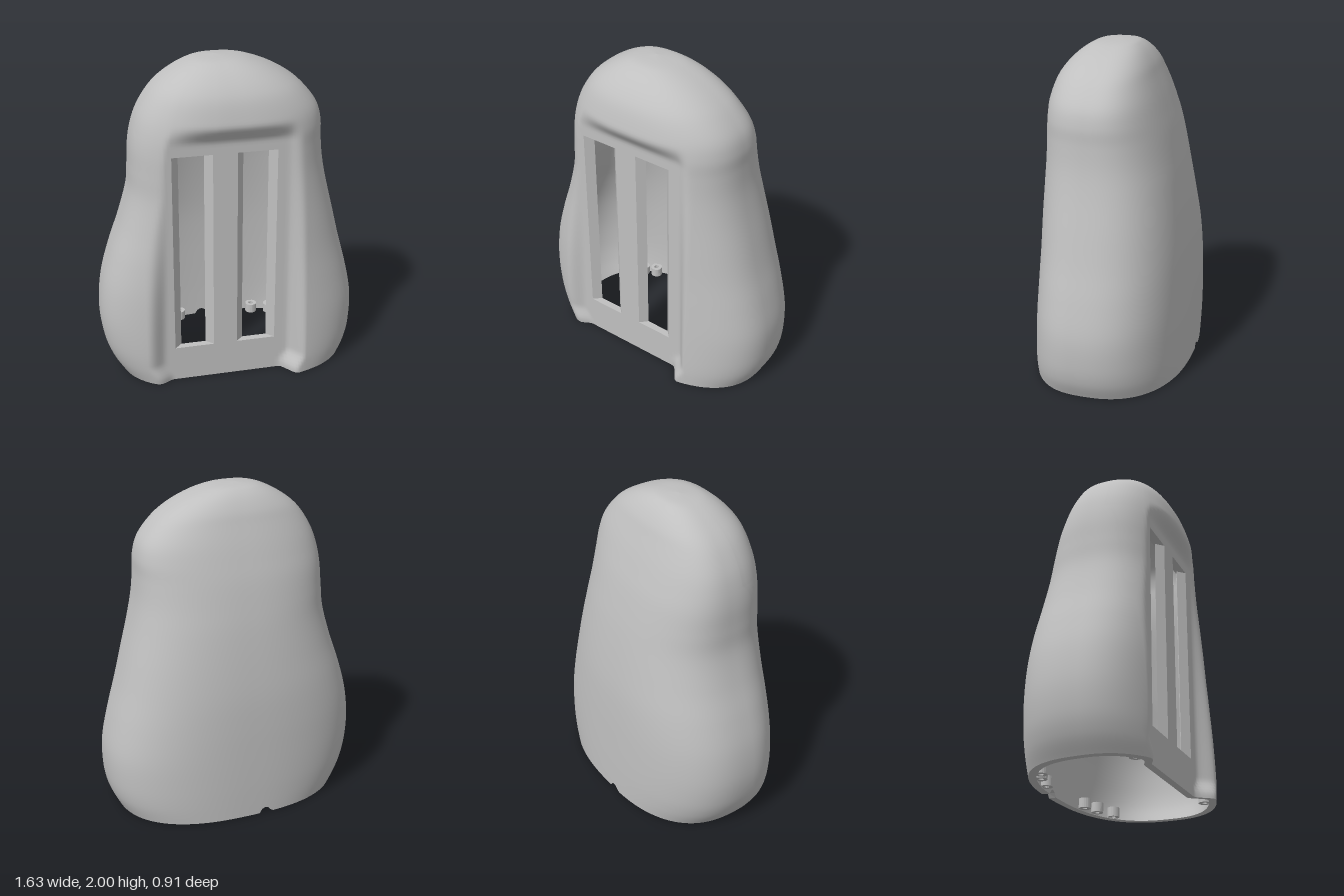
import * as THREE from 'three';

// Profile stations: y, right edge x, left edge x, front z, back z
const STATIONS = [
  [0, -0.695, 0.74, 0.488, -0.455], [0.1, -0.755, 0.785, 0.484, -0.455],
  [0.225, -0.797, 0.807, 0.478, -0.454], [0.4, -0.815, 0.806, 0.47, -0.45],
  [0.6, -0.795, 0.765, 0.463, -0.443], [0.8, -0.74, 0.71, 0.456, -0.43],
  [1.0, -0.67, 0.66, 0.45, -0.405], [1.2, -0.615, 0.61, 0.444, -0.372],
  [1.35, -0.603, 0.58, 0.44, -0.34], [1.49, -0.595, 0.566, 0.435, -0.305],
  [1.6, -0.575, 0.561, 0.428, -0.27], [1.7, -0.54, 0.53, 0.41, -0.235],
  [1.8, -0.48, 0.45, 0.38, -0.195], [1.87, -0.415, 0.363, 0.338, -0.165],
  [1.93, -0.33, 0.255, 0.28, -0.125], [1.97, -0.25, 0.15, 0.22, -0.083],
  [1.99, -0.18, 0.06, 0.16, -0.04], [2.0, -0.07, -0.07, 0.05, 0.05],
];
const STEPS = 6, ROWS = (STATIONS.length - 1) * STEPS;
const WALL = 0.045, CZ = 0.05, N = 2.5, PANEL_Z = 0.353;

// Column anchors across the front; the slots sit between anchors 2-3 and 4-5
const OUTER_X = [0.43, 0.31, 0.24, 0, -0.147, -0.39, -0.44, -0.57];
const INNER_X = [0.41, 0.28, 0.195, 0.042, -0.192, -0.345, -0.41, -0.53];
const SEGS = [14, 8, 3, 6, 4, 6, 3, 8, 14], BACK = 120;
const FRONT = SEGS.reduce((a, b) => a + b), COLS = FRONT + BACK;
const colOf = (anchor) => SEGS.slice(0, anchor + 1).reduce((a, b) => a + b);
const SLOTS = [[colOf(2), colOf(3)], [colOf(4), colOf(5)]];
const SLOT_ROWS = [2 * STEPS, 9 * STEPS];

const smooth = THREE.MathUtils.smoothstep;
const spow = (v, p) => Math.sign(v) * Math.abs(v) ** p;

// Catmull-Rom through the stations
function station(row) {
  const last = STATIONS.length - 1;
  const i = Math.min(Math.floor(row / STEPS), last - 1), t = row / STEPS - i;
  const p = [i - 1, i, i + 1, i + 2].map((k) => STATIONS[THREE.MathUtils.clamp(k, 0, last)]);
  return p[1].map((b, k) => {
    const a = p[0][k], c = p[2][k], d = p[3][k];
    return b + 0.5 * t * (c - a + t * (2 * a - 5 * b + 4 * c - d + t * (3 * (b - c) + d - a)));
  });
}

// One closed horizontal section of the outer or inner skin
function section(row, inset, xs) {
  const [y0, xr, xl, zf, zb] = station(row);
  const c = (xl + xr) / 2, hw = Math.max((xl - xr) / 2 - inset, 0);
  const df = Math.max(zf - CZ - inset, 0), db = Math.max(CZ - zb - inset, 0);
  // Front columns hold fixed x up to the brow, then follow the narrowing top
  const ref = station(Math.min(row, 10 * STEPS));
  const rc = (ref[1] + ref[2]) / 2, rh = (ref[2] - ref[1]) / 2 - inset;
  const stops = [0, ...xs.map((x) => {
    const u = THREE.MathUtils.clamp((x - rc) / rh, -0.99, 0.99);
    return Math.acos(spow(u, N / 2));
  }), Math.PI];
  const angles = [];
  SEGS.forEach((n, s) => {
    for (let k = 0; k < n; k++) angles.push(stops[s] + (stops[s + 1] - stops[s]) * k / n);
  });
  for (let k = 0; k < BACK; k++) {
    angles.push(2 * Math.PI - Math.acos(spow(Math.cos(Math.PI * (1 + k / BACK)), N / 2)));
  }

  return angles.map((a, j) => {
    const x = c + hw * spow(Math.cos(a), 2 / N), s = Math.sin(a);
    let y = y0 - inset * Math.max(0, (y0 - 1.49) / 0.51);
    let z = CZ + (j < FRONT ? df : db) * spow(s, 2 / N);
    if (j < FRONT) {
      // Sunken front panel with soft borders, pinched at the foot
      const lean = 0.04 * y0 / 1.5, pinch = 0.05 * (1 - smooth(y0, 0.02, 0.13));
      const m = smooth(x, -0.58 + lean + pinch, -0.45 + lean + pinch)
        * (1 - smooth(x, 0.32 - lean / 2 - pinch, 0.43 - lean / 2 - pinch))
        * (1 - smooth(y0, 1.55, 1.68));
      z += (Math.min(z, PANEL_Z - inset) - z) * m;
    } else {
      // Small cable notch in the rear rim
      y = Math.max(y, Math.sqrt(Math.max(0, 0.036 ** 2 - (x + 0.075) ** 2)));
    }
    return [x, y, z];
  });
}

function skin(rings, inward) {
  const index = [];
  const inSlot = (i, j) => i >= SLOT_ROWS[0] && i < SLOT_ROWS[1] && SLOTS.some(([a, b]) => j >= a && j < b);
  for (let i = 0; i < ROWS; i++) {
    for (let j = 0; j < COLS; j++) {
      if (inSlot(i, j)) continue;
      const k = (j + 1) % COLS;
      const a = i * COLS + j, b = i * COLS + k, c = b + COLS, d = a + COLS;
      if (inward) index.push(a, b, c, a, c, d);
      else index.push(a, c, b, a, d, c);
    }
  }
  const g = new THREE.BufferGeometry();
  g.setAttribute('position', new THREE.Float32BufferAttribute(rings.flat(2), 3));
  g.setIndex(index);
  g.computeVertexNormals();
  return g;
}

// Flat strip joining matching points of the two skins along a closed path
function bridge(path, outer, inner) {
  const pos = [];
  path.forEach(([i, j], n) => {
    const [i2, j2] = path[(n + 1) % path.length];
    const a = outer[i][j], b = outer[i2][j2], c = inner[i2][j2], d = inner[i][j];
    pos.push(...a, ...b, ...c, ...a, ...c, ...d);
  });
  const g = new THREE.BufferGeometry();
  g.setAttribute('position', new THREE.Float32BufferAttribute(pos, 3));
  g.computeVertexNormals();
  return g;
}

function slotPath([j0, j1]) {
  const [i0, i1] = SLOT_ROWS, path = [];
  for (let j = j0; j < j1; j++) path.push([i0, j]);
  for (let i = i0; i < i1; i++) path.push([i, j1]);
  for (let j = j1; j > j0; j--) path.push([i1, j]);
  for (let i = i1; i > i0; i--) path.push([i, j0]);
  return path;
}

export function createModel() {
  const model = new THREE.Group();
  model.name = 'hollowHousing';
  const grey = new THREE.MeshStandardMaterial({ color: 0xc0c0c0, side: THREE.DoubleSide });
  grey.name = 'lightGrey';
  const add = (name, geometry) => {
    const mesh = new THREE.Mesh(geometry, grey);
    mesh.name = name;
    model.add(mesh);
    return mesh;
  };

  // Shell skins, bottom rim and bevelled slot walls
  const rows = Array.from({ length: ROWS + 1 }, (_, i) => i);
  const outer = rows.map((r) => section(r, 0, OUTER_X));
  const inner = rows.map((r) => section(r, WALL, INNER_X));
  add('outerShell', skin(outer, false));
  add('innerShell', skin(inner, true));
  const rim = Array.from({ length: COLS }, (_, j) => [0, j]);
  add('bottomRim', bridge(rim, outer, inner));
  SLOTS.forEach((s, i) => add(['leftSlotWall', 'rightSlotWall'][i], bridge(slotPath(s), outer, inner)));

  // Raised frame inside, around the slots
  const rect = (T, x0, x1, y0, y1) => new T([[x0, y0], [x1, y0], [x1, y1], [x0, y1]].map((p) => new THREE.Vector2(...p)));
  const frame = rect(THREE.Shape, -0.43, 0.28, 0.1, 1.53);
  frame.holes.push(rect(THREE.Path, -0.39, 0.24, 0.16, 1.5));
  add('innerFrame', new THREE.ExtrudeGeometry(frame, { depth: 0.02, bevelEnabled: false }))
    .position.z = PANEL_Z - WALL - 0.02;

  // Hollow screw bosses along the inside of the rim
  const ring = [[0.016, 0], [0.038, 0], [0.038, 0.06], [0.016, 0.06], [0.016, 0]].map((p) => new THREE.Vector2(...p));
  const boss = new THREE.LatheGeometry(ring, 20).toNonIndexed();
  boss.computeVertexNormals();
  [[0.53, -0.28], [0.39, -0.33], [0.27, -0.36], [-0.235, -0.37], [-0.38, -0.33], [-0.46, -0.29],
    [0.45, 0.36], [-0.53, 0.31]].forEach(([x, z]) => add('screwBoss', boss).position.set(x, 0.005, z));
  return model;
}
